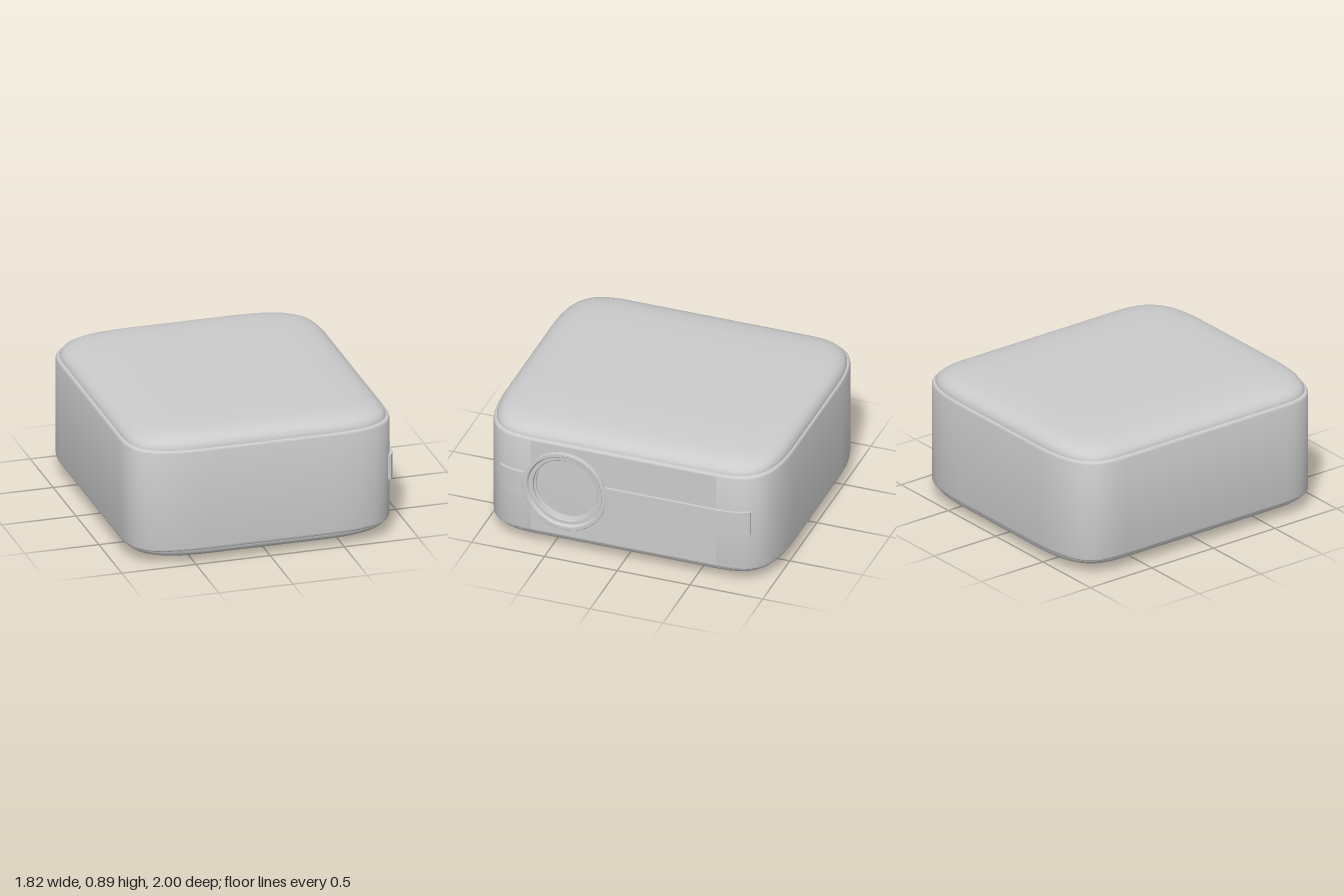
import * as THREE from 'three';
import { toCreasedNormals } from 'three/addons/utils/BufferGeometryUtils.js';

const CX = -0.0125, HX = 0.8975, HZ = 1;      // body centre and half sizes
const WALL_Z = 0.64, WALL_Y0 = 0.115, WALL_Y1 = 0.78;
const LENS_Y = 0.455, LENS_Z = 0.4;

const material = new THREE.MeshStandardMaterial({ color: 0xcccccc, side: THREE.DoubleSide });

function mesh(name, geometry, crease = 0.6) {
  const m = new THREE.Mesh(toCreasedNormals(geometry, crease), material);
  m.name = name;
  return m;
}

// One soft corner, from the +x wall to the +z wall
const corner = new THREE.CubicBezierCurve(
  new THREE.Vector2(HX, WALL_Z), new THREE.Vector2(HX, HZ - 0.12),
  new THREE.Vector2(HX - 0.08, HZ), new THREE.Vector2(HX - 0.5, HZ)
).getPoints(24);

// Full plan outline: the corner mirrored into four quadrants
function planOutline() {
  const pts = [];
  for (const [sx, sz] of [[1, 1], [-1, 1], [-1, -1], [1, -1]]) {
    const q = corner.map(p => [p.x * sx, p.y * sz]);
    pts.push(...(sx * sz < 0 ? q.reverse() : q));
  }
  return pts;
}

// Skin over plan outlines; each level is [y, inset in x, inset in z]
function loft(levels, skip = () => false) {
  const plan = planOutline(), n = plan.length, pos = [], index = [];
  for (const [y, ix, iz] of levels)
    for (const [x, z] of plan) pos.push(CX + x * (1 - ix / HX), y, z * (1 - iz / HZ));
  for (let j = 0; j < levels.length - 1; j++)
    for (let i = 0; i < n; i++) {
      if (skip(i, j, n)) continue;
      const a = j * n + i, c = j * n + (i + 1) % n;
      index.push(a, a + n, c, c, a + n, c + n);
    }
  const g = new THREE.BufferGeometry();
  g.setAttribute('position', new THREE.Float32BufferAttribute(pos, 3));
  g.setIndex(index);
  return g;
}

// Flat lens-side wall with a round opening
function lensWall() {
  const s = new THREE.Shape();
  s.moveTo(-WALL_Z, WALL_Y0).lineTo(WALL_Z, WALL_Y0).lineTo(WALL_Z, WALL_Y1).lineTo(-WALL_Z, WALL_Y1);
  const hole = new THREE.Path();
  hole.absarc(-LENS_Z, LENS_Y, 0.23, 0, Math.PI * 2, true);
  s.holes.push(hole);
  return new THREE.ShapeGeometry(s, 48).rotateY(Math.PI / 2).translate(CX + HX, 0, 0);
}

// Raised trim strip that hugs the wall between two z positions
function trimStrip(z0, z1) {
  const run = [...corner.map(p => [p.x, -p.y]).reverse(), ...corner.map(p => [p.x, p.y])];
  const curveX = z => {
    const k = Math.max(0, run.findIndex(p => p[1] >= z) - 1);
    const [a, b] = [run[k], run[k + 1]];
    return CX + a[0] + (b[0] - a[0]) * (z - a[1]) / (b[1] - a[1]);
  };
  const outer = [], inner = [], steps = 40;
  for (let i = 0; i <= steps; i++) {
    const z = z0 + (z1 - z0) * i / steps, x = curveX(z);
    outer.push(new THREE.Vector2(x + 0.02, -z));
    inner.unshift(new THREE.Vector2(x - 0.015, -z));
  }
  const g = new THREE.ExtrudeGeometry(new THREE.Shape([...outer, ...inner]), { depth: 0.17, bevelEnabled: false });
  return g.rotateX(-Math.PI / 2).translate(0, 0.37, 0);
}

// Turned part about the lens axis; profile is [radius, x]
function turned(profile) {
  const g = new THREE.LatheGeometry(profile.map(p => new THREE.Vector2(...p)), 64);
  return g.rotateZ(-Math.PI / 2).translate(0, LENS_Y, LENS_Z);
}

export function createModel() {
  const model = new THREE.Group();
  model.name = 'projector';

  // Main shell, with the lens wall left open and filled separately
  model.add(mesh('sideShell', loft([
    [0.093, 0.022, 0.022], [0.095, 0.01, 0.008], [0.102, 0.003, 0.002], [WALL_Y0, 0, 0],
    [WALL_Y1, 0, 0], [0.788, 0.003, 0.002], [0.795, 0.01, 0.008], [0.797, 0.022, 0.022]
  ], (i, j, n) => j === 3 && i === n - 1)));
  model.add(mesh('lensWall', lensWall()));

  // Pillowed lid and base
  model.add(mesh('lid', loft([
    [0.785, 0.02, 0.015], [0.802, 0.021, 0.016], [0.82, 0.03, 0.021], [0.84, 0.05, 0.032],
    [0.857, 0.085, 0.052], [0.87, 0.13, 0.08], [0.88, 0.195, 0.12], [0.887, 0.28, 0.18],
    [0.891, 0.4, 0.27], [0.893, 0.55, 0.45], [0.893, HX, HZ]
  ])));
  model.add(mesh('base', loft([
    [0.024, HX, HZ], [0.024, 0.5, 0.4], [0.027, 0.34, 0.25], [0.031, 0.21, 0.15],
    [0.037, 0.13, 0.09], [0.047, 0.075, 0.05], [0.06, 0.045, 0.031],
    [0.075, 0.028, 0.02], [0.09, 0.021, 0.016], [0.105, 0.02, 0.015]
  ])));

  // Trim strips either side of the lens
  model.add(mesh('frontTrim', trimStrip(LENS_Z + 0.262, 0.86)));
  model.add(mesh('rearTrim', trimStrip(-0.86, LENS_Z - 0.262)));

  // Stepped lens surround and recessed glass
  model.add(mesh('lensRing', turned([
    [0.286, 0.86], [0.286, 0.906], [0.282, 0.91], [0.261, 0.91], [0.256, 0.906], [0.25, 0.89],
    [0.227, 0.89], [0.223, 0.886], [0.223, 0.862], [0.213, 0.858], [0.213, 0.84]
  ])));
  model.add(mesh('lensGlass', turned([[0.216, 0.843], [0.12, 0.845], [0, 0.846]])));

  // Four small domed feet
  for (const sx of [-1, 1]) for (const sz of [-1, 1]) {
    const foot = mesh('foot', new THREE.LatheGeometry([
      [0, 0], [0.035, 0.001], [0.046, 0.006], [0.052, 0.015], [0.052, 0.035]
    ].map(p => new THREE.Vector2(...p)), 32));
    foot.position.set(CX + sx * 0.615, 0, sz * 0.745);
    model.add(foot);
  }
  return model;
}
